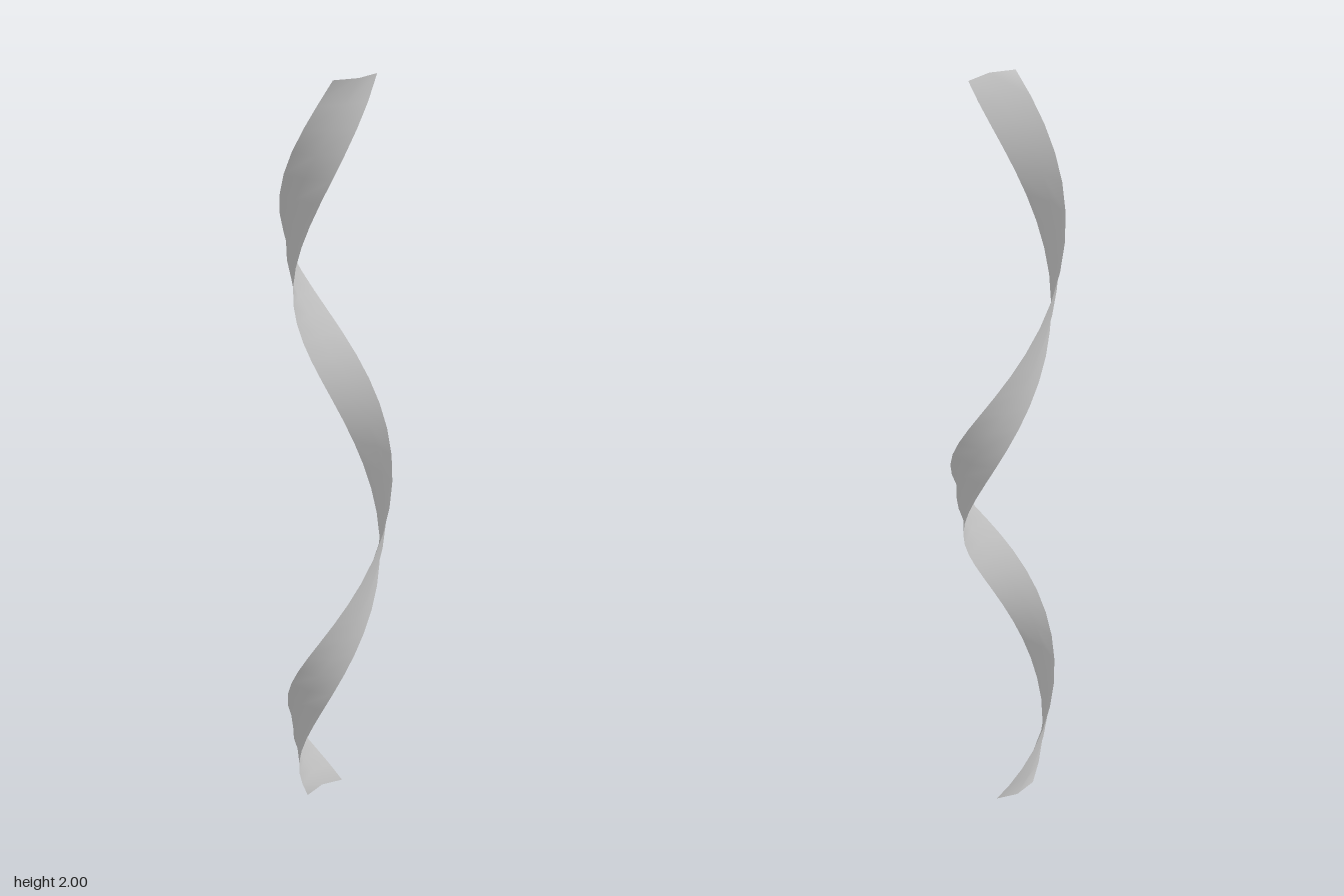
import * as THREE from 'three';

const HEIGHT = 2, TURNS = 1.5, STEPS = 36;

// Bent cross-section of the ribbon at its foot, as [x, z]
const SECTION = [[-0.1, -0.087], [-0.115, -0.03], [-0.1, 0.03]];

export function createModel() {
  const group = new THREE.Group();
  group.name = 'twistedRibbon';

  // Sweep the section upward while turning it around the y axis
  const geometry = new THREE.PlaneGeometry(1, 1, SECTION.length - 1, STEPS);
  const pos = geometry.attributes.position;
  for (let i = 0; i < pos.count; i++) {
    const [x, z] = SECTION[i % SECTION.length];
    const t = 1 - Math.floor(i / SECTION.length) / STEPS;
    const a = t * TURNS * Math.PI * 2;
    const c = Math.cos(a), s = Math.sin(a);
    pos.setXYZ(i, x * c + z * s, t * HEIGHT, z * c - x * s);
  }
  geometry.computeVertexNormals();

  const ribbon = new THREE.Mesh(
    geometry,
    new THREE.MeshStandardMaterial({ color: 0xcccccc, side: THREE.DoubleSide })
  );
  ribbon.name = 'ribbon';
  group.add(ribbon);
  return group;
}
